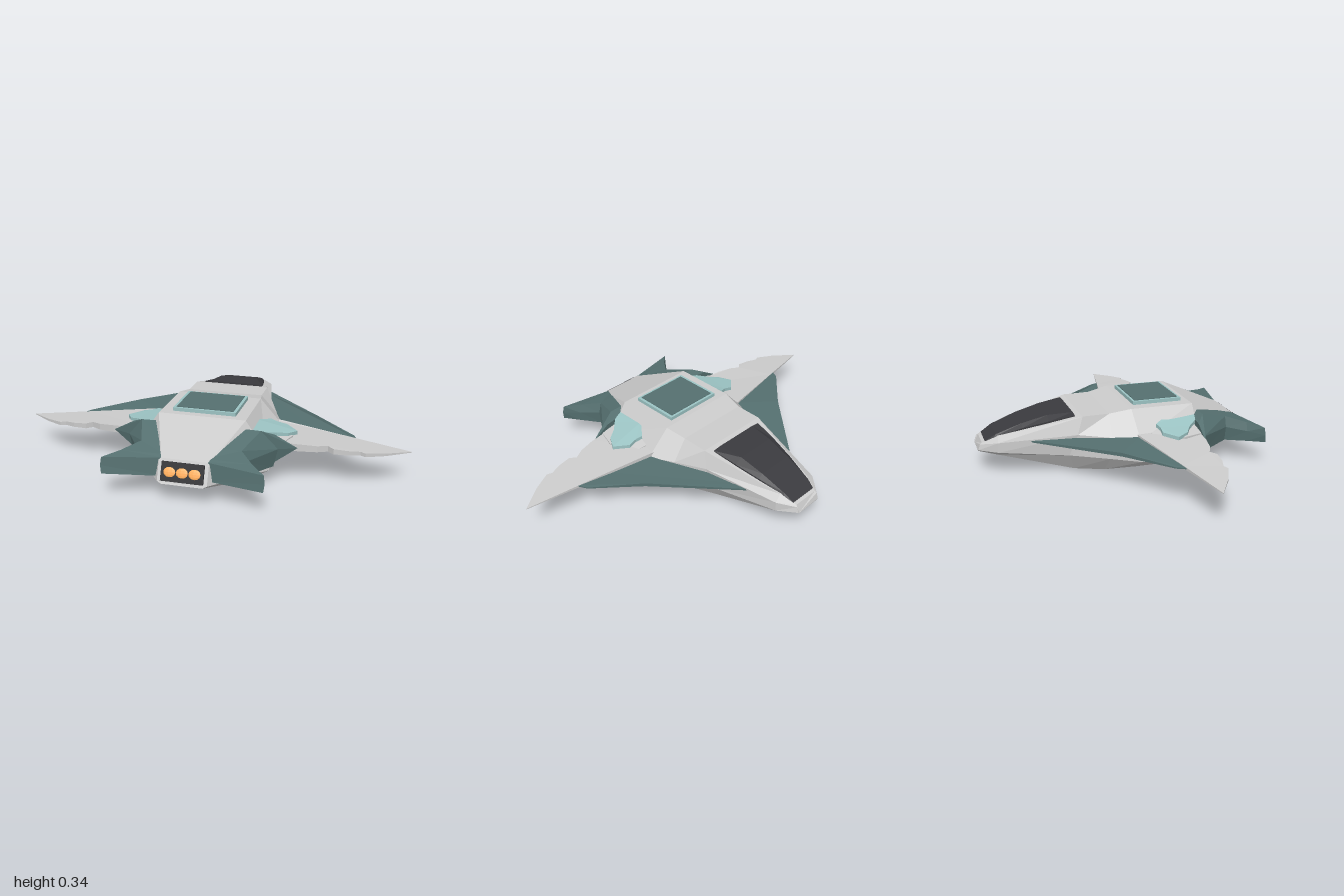
import * as THREE from 'three';

const paint = (color) => new THREE.MeshStandardMaterial({ color, flatShading: true, side: THREE.DoubleSide });
const grey = paint(0xcccccc), teal = paint(0x557070), paleTeal = paint(0x9cc4c4);
const dark = paint(0x3a3a3e), black = paint(0x1c1c20), orange = paint(0xffae5c);

// Skin over a row of equal-length rings of [x, y, z], capped at both ends and turned outward.
function loft(rings) {
  const n = rings[0].length, tris = [];
  for (let r = 0; r < rings.length - 1; r++) {
    for (let i = 0; i < n; i++) {
      const j = (i + 1) % n;
      const a = rings[r][i], b = rings[r][j], c = rings[r + 1][j], d = rings[r + 1][i];
      tris.push([a, b, c], [a, c, d]);
    }
  }
  const last = rings[rings.length - 1];
  for (let i = 1; i < n - 1; i++) {
    tris.push([rings[0][0], rings[0][i + 1], rings[0][i]], [last[0], last[i], last[i + 1]]);
  }
  const vec = (p) => new THREE.Vector3(...p);
  let volume = 0;
  for (const [a, b, c] of tris) volume += vec(a).dot(vec(b).cross(vec(c)));
  if (volume < 0) tris.forEach((t) => t.reverse());
  const geo = new THREE.BufferGeometry();
  geo.setAttribute('position', new THREE.Float32BufferAttribute(tris.flat(2), 3));
  geo.computeVertexNormals();
  return geo;
}

// Thin plate from an [x, z] outline; height(x, z) returns [top, bottom].
function plate(outline, side, height) {
  const shape = new THREE.Shape(outline.map(([x, z]) => new THREE.Vector2(x * side, z)));
  const geo = new THREE.ExtrudeGeometry(shape, { depth: 1, bevelEnabled: false }).rotateX(Math.PI / 2);
  const p = geo.attributes.position;
  for (let i = 0; i < p.count; i++) {
    const [top, bottom] = height(Math.abs(p.getX(i)), p.getZ(i));
    p.setY(i, p.getY(i) > -0.5 ? top : bottom);
  }
  geo.computeVertexNormals();
  return geo;
}

// Full ring from its right half, listed bottom to top.
const symmetric = (half) => [...half, ...half.map(([x, y, z]) => [-x, y, z]).reverse()];
const flip = (rings, side) => rings.map((r) => r.map(([x, y, z]) => [x * side, y, z]));
const { lerp, clamp } = THREE.MathUtils;

export function createModel() {
  const model = new THREE.Group();
  const add = (name, geo, mat) => {
    const mesh = new THREE.Mesh(geo, mat);
    mesh.name = name;
    model.add(mesh);
    return mesh;
  };

  // Faceted hull, tail to nose
  add('hull', loft([
    [[0.10, 0.095, 0.70], [0.12, 0.105, 0.695], [0.12, 0.195, 0.66], [0.11, 0.205, 0.655]],
    [[0.22, 0, 0.37], [0.34, 0.07, 0.37], [0.32, 0.17, 0.37], [0.22, 0.315, 0.37]],
    [[0.22, 0, 0.06], [0.34, 0.07, 0.06], [0.34, 0.185, 0.05], [0.22, 0.315, 0.04]],
    [[0.21, 0, -0.10], [0.28, 0.082, -0.09], [0.285, 0.195, -0.08], [0.20, 0.295, -0.07]],
    [[0.15, 0, -0.245], [0.20, 0.093, -0.28], [0.22, 0.205, -0.24], [0.20, 0.293, -0.21]],
    [[0.09, 0.098, -0.63], [0.14, 0.125, -0.63], [0.14, 0.175, -0.63], [0.10, 0.2, -0.62]],
    [[0.07, 0.12, -0.72], [0.075, 0.125, -0.72], [0.075, 0.155, -0.71], [0.07, 0.162, -0.70]],
  ].map(symmetric)), grey);

  // Dark canopy glass
  add('canopy', loft([
    [[0.165, 0.25, -0.24], [0.165, 0.29, -0.24], [0.12, 0.295, -0.24]],
    [[0.145, 0.22, -0.37], [0.145, 0.265, -0.37], [0.105, 0.287, -0.37]],
    [[0.12, 0.18, -0.50], [0.12, 0.235, -0.50], [0.095, 0.253, -0.50]],
    [[0.09, 0.15, -0.64], [0.09, 0.192, -0.64], [0.085, 0.205, -0.63]],
    [[0.08, 0.14, -0.685], [0.08, 0.165, -0.685], [0.075, 0.17, -0.685]],
  ].map(symmetric)), dark);

  // Roof hatch: pale rim with a darker lid
  add('hatchRim', new THREE.BoxGeometry(0.32, 0.022, 0.26), paleTeal).position.set(0, 0.322, 0.2);
  add('hatchLid', new THREE.BoxGeometry(0.29, 0.01, 0.235), teal).position.set(0, 0.331, 0.2);

  // Tilted exhaust panel with three glowing lobes
  const exhaust = new THREE.Group();
  exhaust.name = 'exhaust';
  exhaust.position.set(0, 0.152, 0.68);
  exhaust.rotation.x = -0.4;
  const panel = new THREE.Mesh(new THREE.BoxGeometry(0.205, 0.092, 0.012), black);
  panel.name = 'exhaustPanel';
  exhaust.add(panel);
  for (const i of [-1, 0, 1]) {
    const lobe = new THREE.Mesh(new THREE.SphereGeometry(0.03, 9, 6), orange);
    lobe.name = 'exhaustGlow';
    lobe.scale.set(1, 0.8, 0.2);
    lobe.position.set(i * 0.06, -0.002, 0.006);
    exhaust.add(lobe);
  }
  model.add(exhaust);

  for (const side of [1, -1]) {
    const tag = side > 0 ? 'left' : 'right';

    // Swept main wing with a ragged trailing edge
    add(tag + 'Wing', plate([
      [0.2, 0.02], [0.34, 0.045], [0.7, 0.125], [1, 0.19], [0.88, 0.27], [0.79, 0.312], [0.765, 0.3],
      [0.71, 0.318], [0.64, 0.325], [0.61, 0.3], [0.56, 0.325], [0.48, 0.34], [0.2, 0.365],
    ], side, (x, z) => {
      const t = clamp((x - 0.34) / 0.66, 0, 1);
      const lead = 0.045 + 0.22 * (x - 0.34);
      const half = lerp(0.022, 0.003, t) * (z - lead < 0.02 ? 0.6 : 1);
      const mid = lerp(0.197, 0.165, t);
      return [mid + half, mid - half];
    }), grey);

    // Broad teal strake ahead of the wing
    add(tag + 'Strake', plate([
      [0.12, -0.47], [0.17, -0.47], [0.5, -0.1], [0.71, 0.09], [0.735, 0.14], [0.6, 0.16], [0.15, 0.2],
    ], side, (x, z) => {
      const mid = x > 0.6 ? 0.18 : lerp(0.178, 0.192, clamp((z + 0.47) / 0.5, 0, 1));
      const half = x > 0.6 ? 0.003 : lerp(0.004, 0.011, clamp((z + 0.47) / 0.5, 0, 1));
      return [mid + half, mid - half];
    }), teal);

    // Root fairing under the pale plate
    add(tag + 'RootFairing', loft(flip([
      [[0.28, 0.17, 0.1], [0.38, 0.18, 0.13], [0.38, 0.2, 0.13], [0.28, 0.22, 0.1]],
      [[0.28, 0.15, 0.25], [0.43, 0.165, 0.25], [0.43, 0.215, 0.25], [0.28, 0.235, 0.25]],
      [[0.28, 0.15, 0.35], [0.40, 0.165, 0.35], [0.40, 0.215, 0.35], [0.28, 0.235, 0.35]],
    ], side)), grey);

    // Pale armour plate sloping down and outward
    add(tag + 'ShoulderPlate', plate([
      [0.24, 0.22], [0.3, 0.145], [0.335, 0.155], [0.38, 0.15], [0.445, 0.21], [0.41, 0.27],
      [0.36, 0.3], [0.32, 0.34], [0.28, 0.385], [0.21, 0.39],
    ], side, (x, z) => {
      const top = lerp(0.275, 0.225, clamp((x - 0.22) / 0.22, 0, 1)) - (z < 0.2 ? 0.006 : 0);
      return [top, top - 0.018];
    }), paleTeal);

    // Flank nacelle that narrows, then flares into a tail fin
    add(tag + 'TailNacelle', loft(flip([
      [[0.22, 0.11, 0.36], [0.36, 0.11, 0.36], [0.47, 0.19, 0.345], [0.36, 0.25, 0.35], [0.2, 0.265, 0.36]],
      [[0.2, 0.09, 0.385], [0.36, 0.095, 0.375], [0.38, 0.185, 0.37], [0.30, 0.28, 0.395], [0.19, 0.282, 0.395]],
      [[0.11, 0.1, 0.55], [0.25, 0.105, 0.55], [0.262, 0.18, 0.55], [0.245, 0.235, 0.55], [0.13, 0.24, 0.55]],
      [[0.11, 0.11, 0.63], [0.325, 0.115, 0.64], [0.33, 0.17, 0.64], [0.315, 0.215, 0.64], [0.1, 0.213, 0.63]],
      [[0.11, 0.115, 0.66], [0.385, 0.12, 0.72], [0.39, 0.16, 0.715], [0.385, 0.2, 0.71], [0.1, 0.205, 0.65]],
    ], side)), teal);
  }
  return model;
}
